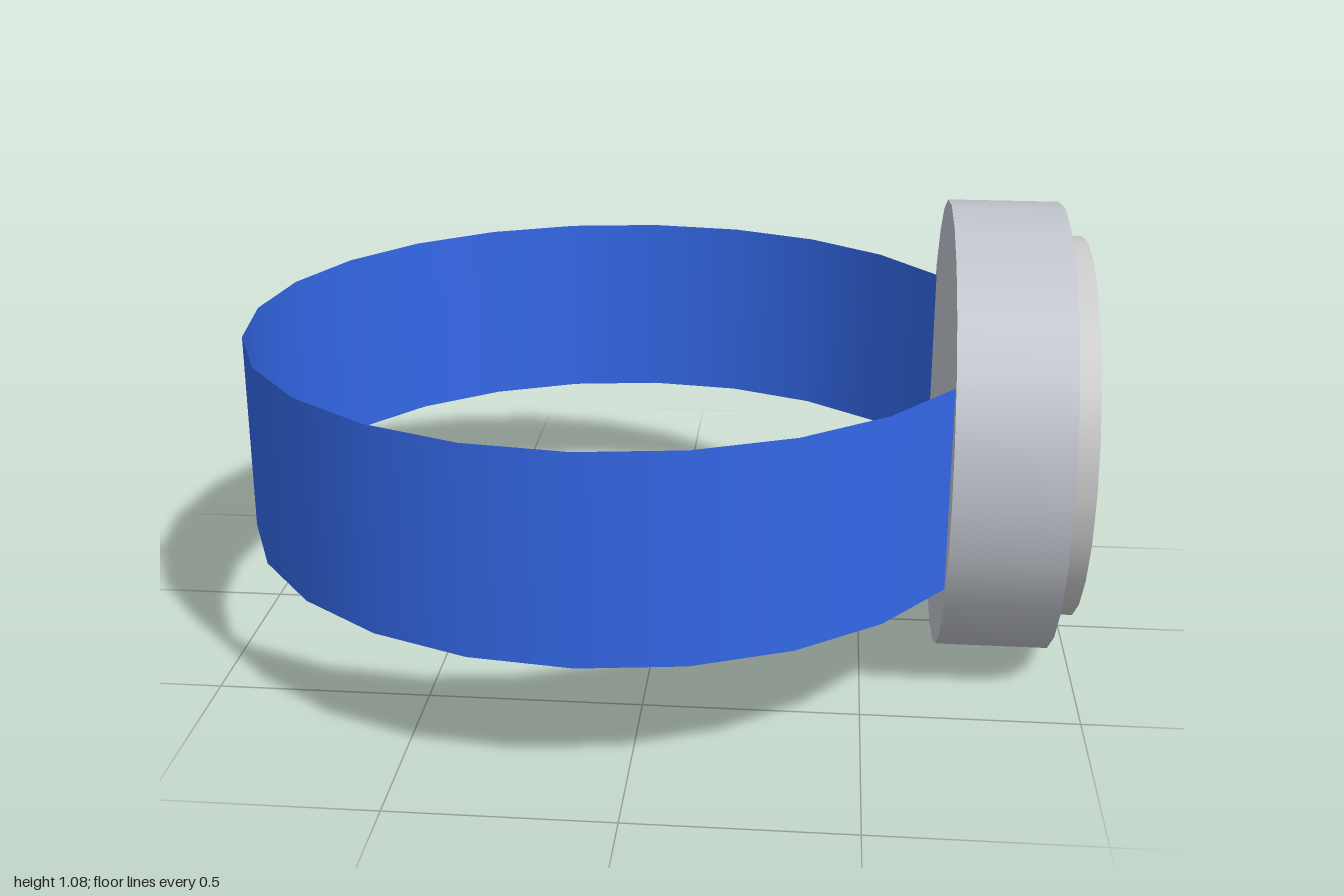
import * as THREE from 'three';

const SIDES = 24;

function addPart(group, name, geometry, color, side = THREE.FrontSide) {
  const material = new THREE.MeshStandardMaterial({ color, side });
  const mesh = new THREE.Mesh(geometry, material);
  mesh.name = name;
  group.add(mesh);
  return mesh;
}

// Solid disc lying along the x axis, from x0 to x1
function disc(radius, x0, x1, y) {
  return new THREE.CylinderGeometry(radius, radius, x1 - x0, SIDES)
    .rotateZ(-Math.PI / 2)
    .translate((x0 + x1) / 2, y, 0);
}

export function createModel() {
  const group = new THREE.Group();
  group.name = 'wristwatch';
  const caseY = 0.5375;

  // Paper-thin strap: an open ring that passes into the case
  const strap = new THREE.CylinderGeometry(0.9, 0.9, 0.48, SIDES, 1, true)
    .translate(-0.1, 0.54, 0);
  addPart(group, 'strap', strap, 0x3468e8, THREE.DoubleSide);

  // Round case with a slightly raised dial on its outer face
  addPart(group, 'case', disc(0.5375, 0.68, 0.942, caseY), 0xc0c4cc);
  addPart(group, 'dial', disc(0.457, 0.9, 1, caseY), 0xeaeaea);

  return group;
}
